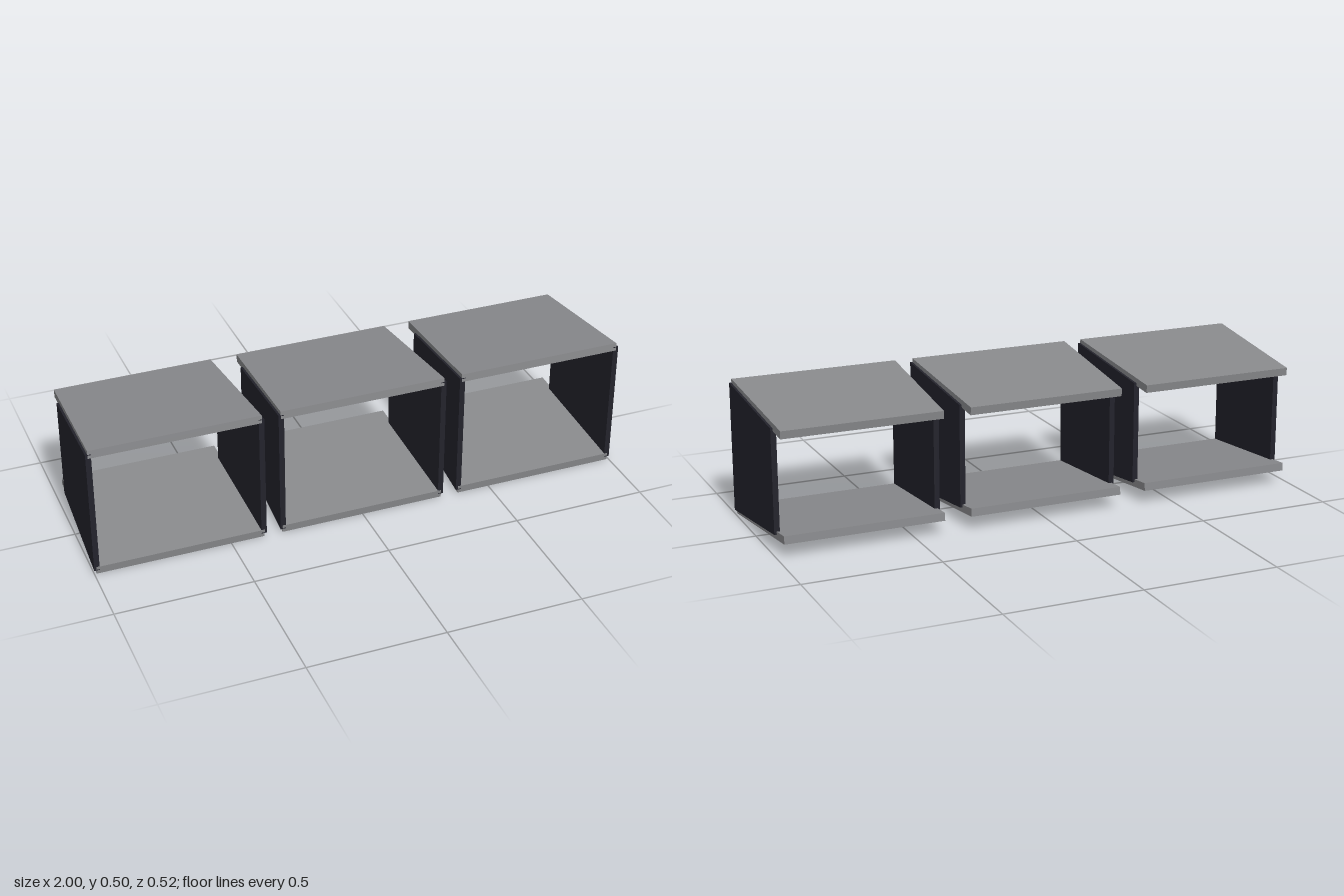
import * as THREE from 'three';

const MID = 0.2535; // height of the mirror plane between shelf and roof
const PITCH = 0.684; // spacing of the three boxes

// Flat board, narrower toward the back
function boardGeometry() {
  const depth = 0.517;
  const geo = new THREE.BoxGeometry(2, 0.029, depth);
  const p = geo.attributes.position;
  for (let i = 0; i < p.count; i++) {
    const half = p.getZ(i) > 0 ? 0.308 : 0.292;
    p.setX(i, Math.sign(p.getX(i)) * half);
  }
  geo.computeVertexNormals();
  return geo;
}

// Upright side, lower and closer to the centre toward the back
function sideGeometry(side) {
  const geo = new THREE.BoxGeometry(0.02, 2, 1);
  const p = geo.attributes.position;
  for (let i = 0; i < p.count; i++) {
    const front = p.getZ(i) > 0;
    p.setXYZ(
      i,
      p.getX(i) + side * (front ? 0.306 : 0.293),
      MID + Math.sign(p.getY(i)) * (front ? 0.237 : 0.189),
      front ? 0.259 : -0.18
    );
  }
  geo.computeVertexNormals();
  return geo;
}

export function createModel() {
  const model = new THREE.Group();
  model.name = 'tripleOpenBox';

  const grey = new THREE.MeshStandardMaterial({ color: 0x88898c });
  grey.name = 'boardGrey';
  const dark = new THREE.MeshStandardMaterial({ color: 0x23232c });
  dark.name = 'sideDark';

  const board = boardGeometry();
  const sides = { leftSide: sideGeometry(1), rightSide: sideGeometry(-1) };

  for (const [i, label] of ['right', 'middle', 'left'].entries()) {
    const box = new THREE.Group();
    box.name = label + 'Box';
    box.position.x = (i - 1) * PITCH;

    // Sloping top and bottom boards, converging toward the back
    for (const [name, s] of [['topBoard', 1], ['bottomBoard', -1]]) {
      const mesh = new THREE.Mesh(board, grey);
      mesh.name = name;
      mesh.position.set(0, MID + s * 0.211, 0.0015);
      mesh.rotation.x = -s * 0.1;
      box.add(mesh);
    }

    // Upright sides, let into the boards
    for (const [name, geo] of Object.entries(sides)) {
      const mesh = new THREE.Mesh(geo, dark);
      mesh.name = name;
      box.add(mesh);
    }
    model.add(box);
  }
  return model;
}
